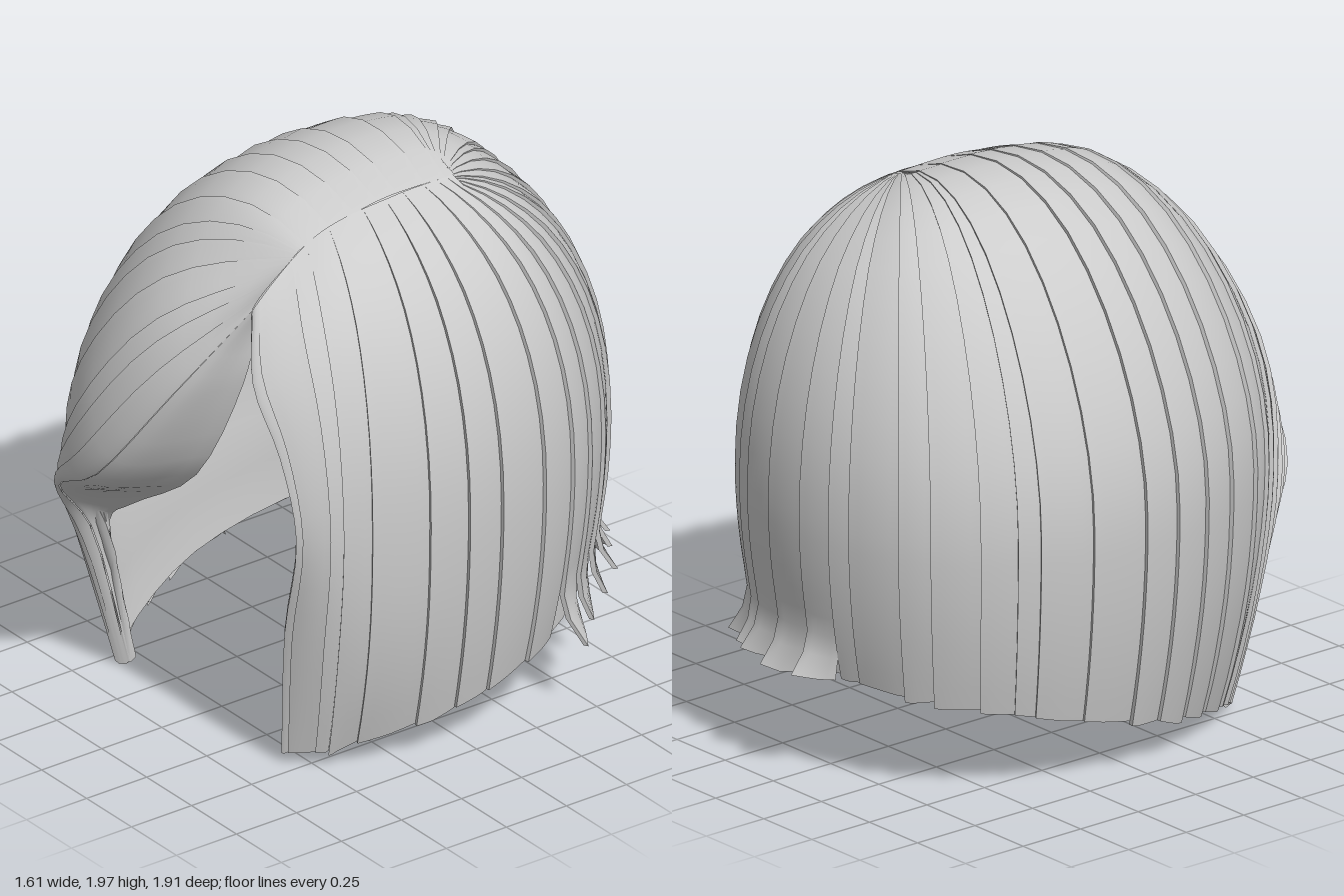
import * as THREE from 'three';
import { toCreasedNormals } from 'three/addons/utils/BufferGeometryUtils.js';

const V = (x, y, z) => new THREE.Vector3(x, y, z);
const ROWS = 20;
const CENTRE = V(0, 1, 0);

// Guide strand drawn by hand: a curve through a few points
const drawn = (...points) => {
  const curve = new THREE.CatmullRomCurve3(points.map((p) => V(...p)));
  return (v) => curve.getPoint(v);
};

// The parting: level on top, dipping and drifting sideways towards the face
const parting = (z) => {
  const d = Math.max(0, z - 0.1) ** 2;
  return V(0.29 + 0.15 * d, 1.92 - 0.8 * d, z);
};

// Guide strand by rule: a quarter arc from the parting to the widest point, then a fall to the hem
const domed = (degrees) => {
  const a = THREE.MathUtils.degToRad(degrees);
  const bow = (n) => Math.sign(n) * Math.abs(n) ** 0.9;
  const wide = V(0.79 * bow(Math.cos(a)), 0.95, 0.89 * bow(Math.sin(a)));
  const root = parting(Math.max(-0.2, 0.7 * wide.z));
  const bump = wide.x * (wide.x < 0 ? -0.62 : -0.3);
  const hem = V(wide.x * (0.9 - 0.2 * Math.max(0, wide.z)), 0.2 - 0.22 * wide.z, wide.z * 0.92);
  return (v) => {
    if (v > 0.6) {
      const t = (v - 0.6) / 0.4;
      const p = wide.clone().lerp(hem, t * t);
      p.y = THREE.MathUtils.lerp(wide.y, hem.y, t);
      return p;
    }
    const arc = (v / 0.6) * Math.PI / 2, f = Math.sin(arc);
    const p = root.clone().lerp(wide, f);
    p.y = THREE.MathUtils.lerp(wide.y, root.y, Math.cos(arc)) + bump * f * (1 - f);
    return p;
  };
};

const leftEdge = drawn([0.33, 1.7, 0.62], [0.42, 1.48, 0.68], [0.53, 1.24, 0.65],
  [0.58, 0.95, 0.62], [0.49, 0.55, 0.6], [0.42, 0.06, 0.56]);
const leftFold = (v) => leftEdge(v).add(V(-0.05, -0.04 * (1 - v), -0.05));
const fringeMiddle = drawn([0.31, 1.82, 0.45], [-0.03, 1.6, 0.73], [-0.3, 1.2, 0.86],
  [-0.46, 0.82, 0.8], [-0.49, 0.45, 0.69], [-0.45, 0.04, 0.59]);
const fringeEdge = drawn([0.33, 1.7, 0.62], [0.17, 1.38, 0.83], [-0.1, 1, 0.945],
  [-0.38, 0.82, 0.89], [-0.42, 0.6, 0.73], [-0.42, 0.03, 0.57]);
const fringeFold = drawn([0.31, 1.62, 0.58], [0.28, 1.4, 0.62], [0.1, 1, 0.68],
  [-0.25, 0.74, 0.69], [-0.41, 0.6, 0.66], [-0.41, 0.05, 0.55]);

// Guides run from the left of the face, round the back, to the fringe
const guides = [leftFold, leftEdge];
for (let i = 0; i < 9; i++) guides.push(domed(30 - i * 30.75));
guides.push(fringeMiddle, fringeEdge, fringeFold);
const LAST = guides.length - 1;

// One smooth curve round the head for every row, from parting to hem
const rows = Array.from({ length: ROWS + 1 }, (_, j) =>
  new THREE.CatmullRomCurve3(guides.map((g) => g(j / ROWS))));
const surface = (u, j) => rows[j].getPoint(u / LAST);

// Skins a grid of points; point(i, j) gives column i, row j
function sheet(columns, point, inward = false) {
  const pos = [], index = [];
  for (let i = 0; i <= columns; i++)
    for (let j = 0; j <= ROWS; j++) pos.push(...point(i, j).toArray());
  for (let i = 0; i < columns; i++)
    for (let j = 0; j < ROWS; j++) {
      const a = i * (ROWS + 1) + j, b = a + 1, c = a + ROWS + 1, d = c + 1;
      if (inward) index.push(a, c, b, b, c, d);
      else index.push(a, b, c, b, d, c);
    }
  const g = new THREE.BufferGeometry();
  g.setAttribute('position', new THREE.Float32BufferAttribute(pos, 3));
  g.setIndex(index);
  return toCreasedNormals(g, 0.7);
}

export function createModel() {
  const group = new THREE.Group();
  group.name = 'hair';
  const hairGrey = new THREE.MeshStandardMaterial({ color: 0xcccccc, side: THREE.DoubleSide });
  hairGrey.name = 'hair grey';
  const add = (name, geometry) => {
    const mesh = new THREE.Mesh(geometry, hairGrey);
    mesh.name = name;
    group.add(mesh);
  };

  let seed = 7;
  const random = () => (seed = (seed * 16807) % 2147483647) / 2147483647;

  // Outer locks: each stands slightly proud of the next, with a ragged tip
  const LOCKS = 36, COLS = 6;
  const cuts = Array.from({ length: LOCKS + 1 }, (_, i) =>
    1 + (LAST - 2) * (i + (i % LOCKS ? (random() - 0.5) * 0.6 : 0)) / LOCKS);
  for (let k = 0; k < LOCKS; k++) {
    const u0 = cuts[k], u1 = cuts[k + 1], mid = (u0 + u1) / 2;
    const flick = mid > 3.9 && mid < 6.2 ? 0.05 + random() * 0.08 : 0;
    const drop = random() * 0.03, slant = random();
    add('lock', sheet(COLS, (i, j) => {
      const s = Math.max(0, i - 1) / (COLS - 1), v = j / ROWS;
      const p = surface(u0 + (u1 - u0) * s, j);
      const out = p.clone().sub(CENTRE);
      if (v > 0.6) out.y = 0;
      out.normalize();
      const lift = i === 0 ? 0 : 0.018 - 0.014 * s;
      const tip = Math.max(0, (v - 0.88) / 0.12);
      p.addScaledVector(out, lift * Math.min(1, v * 4) + flick * tip * tip * (1 - 0.6 * s));
      p.y -= drop * tip * (1 - Math.abs(s - slant));
      return p;
    }));
  }

  // Turned-under edges beside the face
  const fold = (name, from) => add(name, sheet(6, (i, j) => surface(from + i / 6, j)));
  fold('leftFaceEdge', 0);
  fold('fringeUnderside', LAST - 1);

  // Inner lining, meeting the outside at the hem and face edges
  add('lining', sheet(LAST * 4, (i, j) => {
    const u = i / 4;
    const taper = Math.min(1, u, LAST - u, (ROWS - j) / 3);
    const p = surface(u, j);
    p.x *= 1 - 0.06 * taper;
    p.z *= 1 - 0.06 * taper;
    if (p.y > 1) p.y = 1 + (p.y - 1) * (1 - 0.05 * taper);
    return p;
  }, true));

  return group;
}
